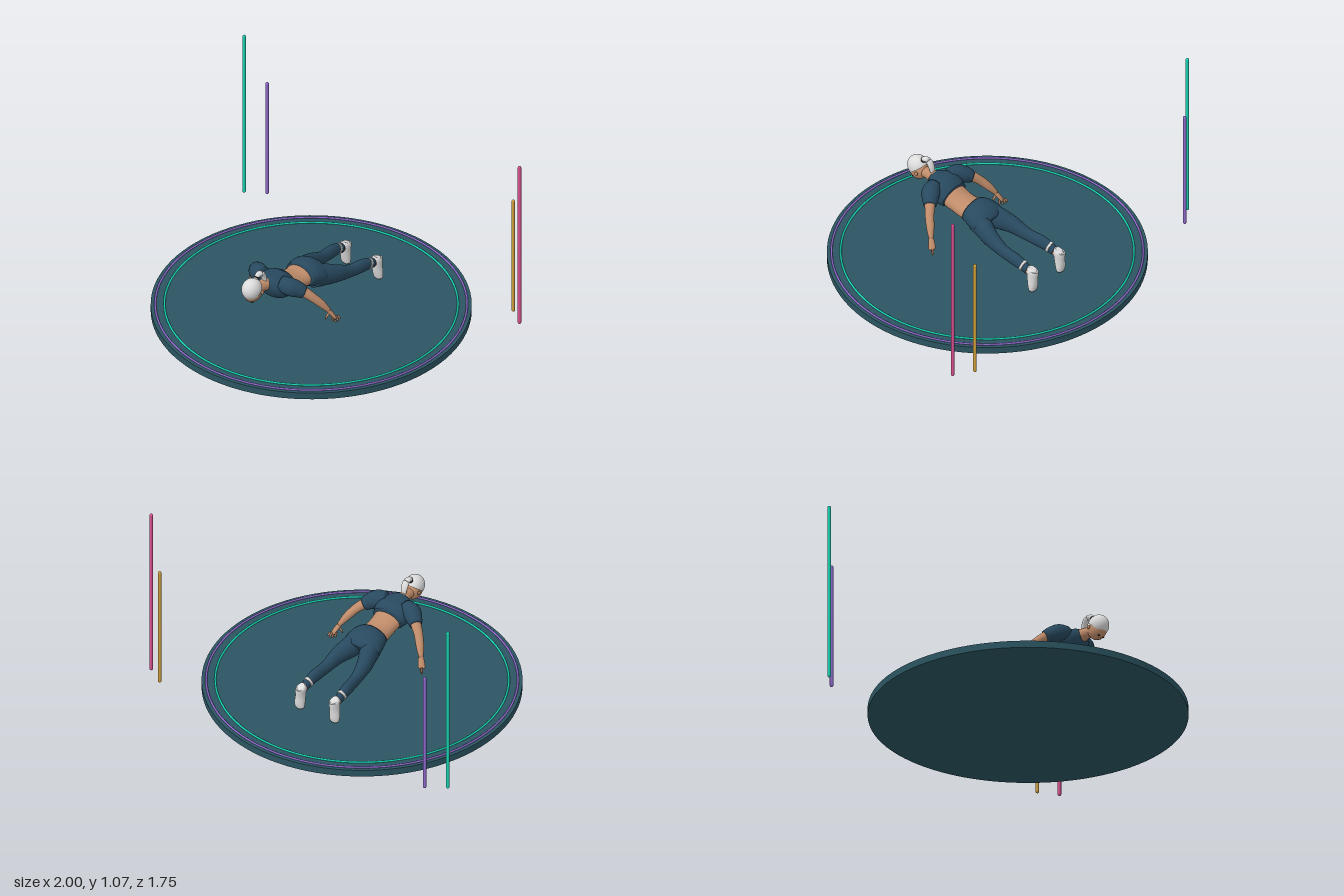
import * as THREE from 'three';

const mat = (name, color, side = THREE.FrontSide) => {
  const m = new THREE.MeshStandardMaterial({ color, side });
  m.name = name;
  return m;
};

// Smooth closed body through elliptical sections [x, y, z, halfWidth, halfHeight]
function loft(secs, up = [0, 1, 0], steps = 5, n = 24) {
  const path = new THREE.CatmullRomCurve3(secs.map(s => new THREE.Vector3(s[0], s[1], s[2])), false, 'catmullrom');
  const size = new THREE.CatmullRomCurve3(secs.map(s => new THREE.Vector3(s[3], s[4] ?? s[3], 0)), false, 'catmullrom');
  const rings = (secs.length - 1) * steps, pos = [], idx = [];
  const u = new THREE.Vector3(...up);
  for (let j = 0; j <= rings; j++) {
    const t = j / rings, c = path.getPoint(t), r = size.getPoint(t), T = path.getTangent(t);
    const s = u.clone().cross(T).normalize(), b = T.clone().cross(s);
    for (let i = 0; i < n; i++) {
      const a = (i / n) * Math.PI * 2;
      const p = c.clone().addScaledVector(s, r.x * Math.cos(a)).addScaledVector(b, r.y * Math.sin(a));
      pos.push(p.x, p.y, p.z);
    }
  }
  for (let j = 0; j < rings; j++) {
    for (let i = 0; i < n; i++) {
      const k = (i + 1) % n, a = j * n + i, b = j * n + k;
      idx.push(a, b, a + n, b, b + n, a + n);
    }
  }
  // end caps
  const c0 = pos.length / 3, c1 = c0 + 1, last = rings * n;
  pos.push(...secs[0].slice(0, 3), ...secs[secs.length - 1].slice(0, 3));
  for (let i = 0; i < n; i++) {
    const k = (i + 1) % n;
    idx.push(c0, k, i, c1, last + i, last + k);
  }
  const g = new THREE.BufferGeometry();
  g.setAttribute('position', new THREE.Float32BufferAttribute(pos, 3));
  g.setIndex(idx);
  g.computeVertexNormals();
  return g;
}

export function createModel() {
  const model = new THREE.Group();
  const floorMat = mat('deep teal', 0x2b5561);
  const cyan = mat('cyan', 0x17d3b2);
  const purple = mat('purple', 0x8f68cc);
  const gold = mat('gold', 0xcf9f3c);
  const pink = mat('pink', 0xd8508f);
  const navy = mat('navy cloth', 0x28495f);
  const skin = mat('skin', 0xc08c6a);
  const white = mat('off white', 0xdcdcdc, THREE.DoubleSide);
  const dark = mat('dark', 0x2a2528);

  const add = (name, geo, m, parent = model) => {
    const mesh = new THREE.Mesh(geo, m);
    mesh.name = name;
    parent.add(mesh);
    return mesh;
  };
  const ball = (name, m, p, s, parent) => {
    const mesh = add(name, new THREE.SphereGeometry(1, 28, 18), m, parent);
    mesh.position.set(...p);
    mesh.scale.set(...s);
    return mesh;
  };

  // Round platform with two glowing rings
  add('platform', new THREE.CylinderGeometry(0.875, 0.875, 0.04, 96), floorMat).position.y = 0.02;
  for (const [name, r, m] of [['innerRing', 0.8, cyan], ['outerRing', 0.85, purple]]) {
    const ring = add(name, new THREE.TorusGeometry(r, 0.006, 8, 128), m);
    ring.rotation.x = Math.PI / 2;
    ring.position.y = 0.043;
  }

  // Upright light posts
  for (const [name, x, z, top, m] of [
    ['cyanPost', -0.99, -0.59, 1.075, cyan], ['purplePost', -0.885, -0.66, 0.775, purple],
    ['goldPost', 0.885, -0.66, 0.775, gold], ['pinkPost', 0.99, -0.59, 1.075, pink]]) {
    add(name, new THREE.CapsuleGeometry(0.01, top - 0.065, 6, 16), m).position.set(x, (top + 0.045) / 2, z);
  }

  const figure = new THREE.Group();
  figure.name = 'figure';
  model.add(figure);

  // Torso and clothes
  add('waist', loft([[0, 0.32, 0.29, 0.08, 0.05], [0, 0.308, 0.25, 0.084, 0.054], [0, 0.293, 0.2, 0.08, 0.052],
    [0, 0.28, 0.14, 0.081, 0.054], [0, 0.28, 0.07, 0.09, 0.058]]), skin, figure);
  add('shirt', loft([[0, 0.372, 0.39, 0.034, 0.03], [0, 0.362, 0.362, 0.08, 0.05], [0, 0.335, 0.31, 0.115, 0.075],
    [0, 0.318, 0.26, 0.102, 0.07], [0, 0.314, 0.235, 0.092, 0.063]], undefined, 6, 32), navy, figure);
  add('hips', loft([[0, 0.284, 0.1, 0.094, 0.062], [0, 0.279, 0.05, 0.107, 0.077], [0, 0.264, 0, 0.112, 0.07],
    [0, 0.25, -0.02, 0.085, 0.045]], undefined, 6, 32), navy, figure);

  // Head, hair and ponytail
  add('neck', loft([[0, 0.37, 0.47, 0.032], [0, 0.37, 0.42, 0.03], [0, 0.365, 0.37, 0.04]]), skin, figure);
  ball('face', skin, [0, 0.368, 0.488], [0.046, 0.057, 0.056], figure);
  ball('nose', skin, [0, 0.313, 0.502], [0.006, 0.008, 0.009], figure);
  const hair = add('hair', new THREE.SphereGeometry(1, 36, 20, 0, Math.PI * 2, 0, Math.PI * 0.58), white, figure);
  hair.position.set(0, 0.391, 0.496);
  hair.scale.set(0.054, 0.062, 0.061);
  hair.rotation.x = 0.7;
  add('ponytail', loft([[0, 0.43, 0.465, 0.012], [0, 0.455, 0.448, 0.015], [0, 0.455, 0.418, 0.02, 0.014],
    [0, 0.425, 0.398, 0.02, 0.012], [0, 0.385, 0.389, 0.014, 0.009], [0, 0.362, 0.388, 0.003]], [0, 0.3, 1]), white, figure);
  const tie = add('hairTie', new THREE.TorusGeometry(0.013, 0.004, 8, 20), dark, figure);
  tie.position.set(0, 0.446, 0.455);
  tie.rotation.x = 0.9;

  // Limbs, built once per side
  for (const s of [1, -1]) {
    const side = s > 0 ? 'left' : 'right';
    const limb = (name, secs, m, up, steps, n) =>
      add(side + name, loft(secs.map(([x, ...r]) => [x * s, ...r]), up, steps, n), m, figure);

    ball(side + 'Ear', skin, [0.05 * s, 0.374, 0.466], [0.007, 0.012, 0.01], figure);
    ball(side + 'Eye', dark, [0.018 * s, 0.322, 0.514], [0.008, 0.004, 0.005], figure);

    limb('Sleeve', [[0.06, 0.37, 0.325, 0.042], [0.11, 0.36, 0.31, 0.051], [0.145, 0.346, 0.285, 0.046],
      [0.174, 0.328, 0.262, 0.036]], navy);
    limb('Arm', [[0.14, 0.35, 0.29, 0.03], [0.172, 0.33, 0.264, 0.029], [0.21, 0.296, 0.235, 0.025],
      [0.245, 0.25, 0.2, 0.022], [0.274, 0.203, 0.17, 0.013]], skin);

    // Hand with spread fingers
    limb('Palm', [[0.268, 0.213, 0.177, 0.013], [0.282, 0.185, 0.16, 0.018, 0.011],
      [0.294, 0.16, 0.147, 0.02, 0.009], [0.297, 0.152, 0.143, 0.014, 0.006]], skin);
    [[0.284, 0.126, 0.15], [0.299, 0.122, 0.139], [0.31, 0.128, 0.129], [0.315, 0.142, 0.121]].forEach((tip, i) => {
      const a = [0.284 + i * 0.007, 0.157 + i * 0.002, 0.158 - i * 0.009];
      limb('Finger' + (i + 1), [[...a, 0.006], [...tip.map((v, k) => a[k] + (v - a[k]) * 0.75), 0.0052], [...tip, 0.002]],
        skin, undefined, 3, 10);
    });
    limb('Thumb', [[0.276, 0.19, 0.167, 0.007], [0.266, 0.168, 0.178, 0.0065], [0.26, 0.148, 0.185, 0.003]],
      skin, undefined, 3, 10);

    // Leg, ankle cuff and upright shoe
    limb('Leg', [[0.052, 0.266, 0.04, 0.048, 0.066], [0.06, 0.25, -0.02, 0.053, 0.065], [0.086, 0.228, -0.1, 0.043, 0.052],
      [0.1, 0.199, -0.2, 0.031, 0.038], [0.108, 0.19, -0.29, 0.029, 0.039], [0.111, 0.18, -0.345, 0.026, 0.033],
      [0.112, 0.166, -0.385, 0.022, 0.027]], navy);
    limb('AnkleCuff', [[0.111, 0.18, -0.344, 0.028, 0.035], [0.1115, 0.175, -0.36, 0.027, 0.033]], white);
    limb('Ankle', [[0.112, 0.168, -0.38, 0.02, 0.025], [0.112, 0.16, -0.41, 0.02, 0.022]], skin);
    limb('Shoe', [[0.112, 0.19, -0.422, 0.016, 0.02], [0.112, 0.178, -0.419, 0.027, 0.036], [0.114, 0.13, -0.419, 0.028, 0.031],
      [0.116, 0.085, -0.423, 0.031, 0.025], [0.116, 0.058, -0.425, 0.028, 0.018], [0.116, 0.047, -0.425, 0.014, 0.01]],
      white, [0, 0, 1]);
  }
  return model;
}
